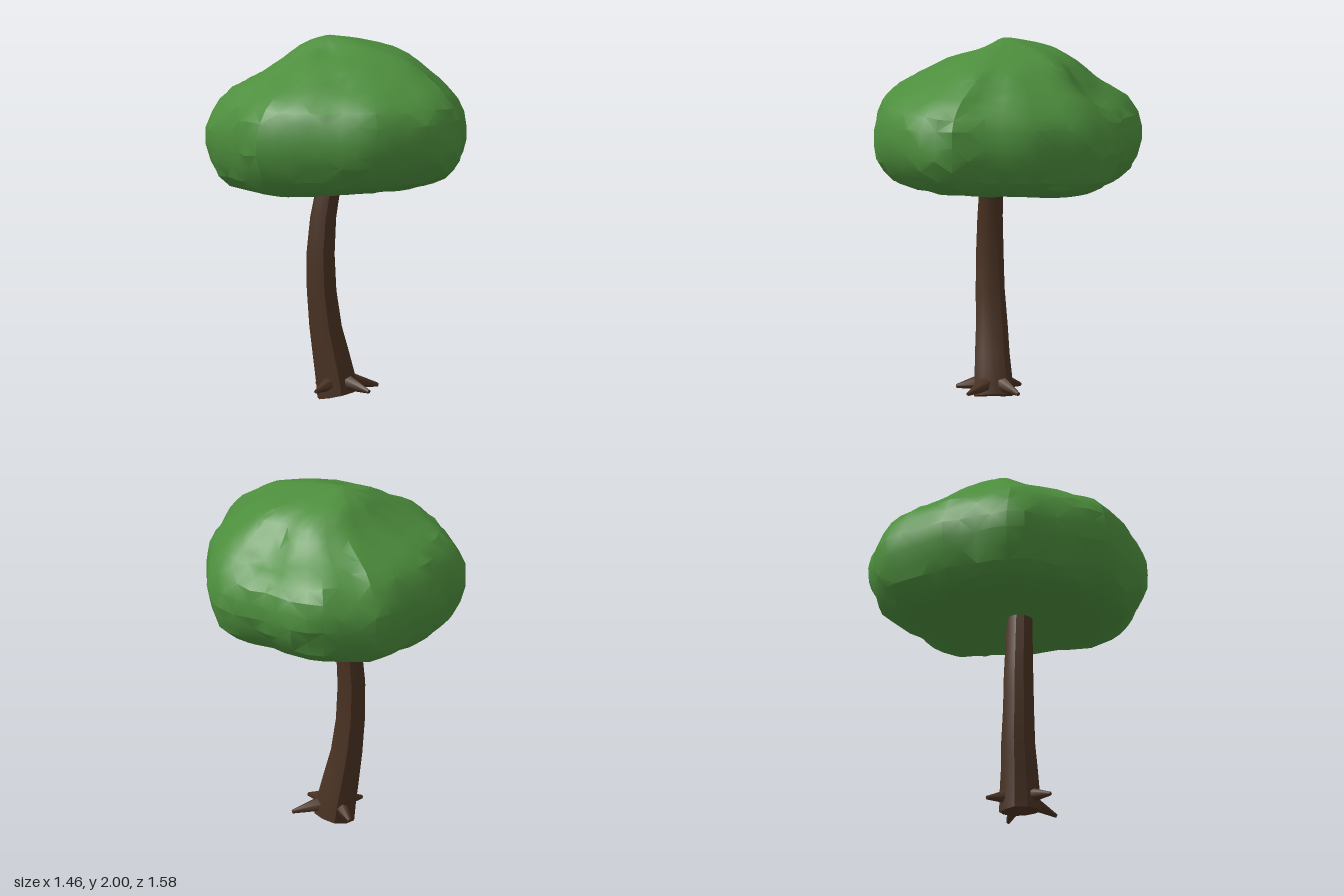
import * as THREE from 'three';
import { toCreasedNormals } from 'three/addons/utils/BufferGeometryUtils.js';

const LEAF = new THREE.MeshStandardMaterial({ color: 0x4d8e3d });
const BARK = new THREE.MeshStandardMaterial({ color: 0x4a3222 });

// Small seeded generator, returns -1..1
function seeded(seed) {
  return () => {
    seed = (seed * 16807) % 2147483647;
    return (seed / 2147483647) * 2 - 1;
  };
}

// Skin closed rings (bottom to top) and close both ends with a fan
function loft(rings, crease) {
  const n = rings[0].length;
  const points = rings.flat();
  const index = [];
  for (let i = 0; i < rings.length - 1; i++) {
    for (let j = 0; j < n; j++) {
      const a = i * n + j, b = i * n + (j + 1) % n, c = a + n, d = b + n;
      if ((i + j) % 2) index.push(a, c, b, b, c, d);
      else index.push(a, d, b, a, c, d);
    }
  }
  const last = (rings.length - 1) * n;
  [rings[0], rings.at(-1)].forEach((ring, end) => {
    const centre = ring.reduce((s, p) => s.add(p), new THREE.Vector3()).divideScalar(n);
    const k = points.push(centre) - 1;
    for (let j = 0; j < n; j++) {
      const a = j, b = (j + 1) % n;
      if (end) index.push(k, last + b, last + a);
      else index.push(k, a, b);
    }
  });
  const g = new THREE.BufferGeometry().setFromPoints(points);
  g.setIndex(index);
  return toCreasedNormals(g, crease);
}

// Bell curve around a centre
const bump = (v, centre, width) => Math.exp(-(((v - centre) / width) ** 2));

function canopy() {
  // Outline seen from above (x, z)
  const outline = new THREE.CatmullRomCurve3([
    [0.73, -0.08], [0.7, 0.125], [0.6, 0.27], [0.53, 0.42], [0.33, 0.62], [0.235, 0.745],
    [0.06, 0.795], [-0.15, 0.74], [-0.355, 0.65], [-0.52, 0.48], [-0.63, 0.335], [-0.735, 0.14],
    [-0.69, -0.17], [-0.66, -0.38], [-0.5, -0.535], [-0.43, -0.55], [-0.36, -0.635], [-0.15, -0.715],
    [0.06, -0.79], [0.17, -0.795], [0.25, -0.75], [0.42, -0.68], [0.57, -0.49], [0.6, -0.355],
  ].map(([x, z]) => new THREE.Vector3(x, 0, z)), true);
  // Side profile: fraction of the outline, height
  const profile = new THREE.SplineCurve([
    [0.1, 1.165], [0.4, 1.145], [0.66, 1.155], [0.85, 1.2], [0.94, 1.29], [1, 1.43], [0.99, 1.53],
    [0.95, 1.61], [0.86, 1.7], [0.66, 1.8], [0.45, 1.9], [0.27, 1.955], [0.05, 2],
  ].map(([f, y]) => new THREE.Vector2(f, y)));
  // Sideways drift of the upper rings: height, x, z
  const drift = [[1.7, 0, 0.02], [1.8, 0.03, 0.03], [1.9, 0.055, 0.01], [1.955, 0.02, -0.05], [2.01, -0.05, -0.065]];
  const driftAt = (y) => {
    const k = drift.findIndex((d) => d[0] > y);
    if (k < 1) return [0, 0.02 * THREE.MathUtils.smoothstep(y, 1.5, 1.7)];
    const [p, q] = [drift[k - 1], drift[k]];
    const t = (y - p[0]) / (q[0] - p[0]);
    return [p[1] + (q[1] - p[1]) * t, p[2] + (q[2] - p[2]) * t];
  };

  const rand = seeded(77);
  const sides = 48, levels = 24, rings = [];
  for (let i = 0; i <= levels; i++) {
    const { x: f, y } = profile.getPointAt(i / levels);
    const [driftX, driftZ] = driftAt(Math.min(y, 2));
    const under = THREE.MathUtils.clamp((1.5 - y) / 0.3, 0, 1);
    const ring = [];
    for (let j = 0; j < sides; j++) {
      const p = outline.getPointAt(j / sides);
      const angle = Math.atan2(p.z, p.x);
      // broad lumps, fine roughness and a groove between two leaf masses
      const lump = 0.008 * Math.sin(angle * 5 + y * 7) + 0.006 * Math.sin(angle * 9 - y * 13);
      const groove = 0.02 * bump(angle, 0.3 - 1.4 * (y - 1.3), 0.16);
      const s = Math.min(f * (1.005 + lump - groove + 0.011 * rand()), 1);
      const x = p.x * s + driftX;
      const z = p.z * s + driftZ * Math.min(1, 2 - f);
      // the underside rises toward the front and left
      const lift = (0.1 * Math.max(0, z) + 0.05 * Math.max(0, x)) * under;
      // the back left mass sits lower than the crown
      const sag = 0.06 * bump(angle, -0.5, 0.5) * bump(y, 1.75, 0.12);
      // shallow hollow beside the crown
      const hollow = y > 1.8 ? 0.04 * Math.exp(-((x + 0.15) ** 2 + (z - 0.03) ** 2) / 0.01) : 0;
      ring.push(new THREE.Vector3(x, Math.min(y + lift - sag - hollow + 0.008 * rand() * f, 2),
        THREE.MathUtils.clamp(z, -0.79, 0.79)));
    }
    rings.push(ring);
  }
  return loft(rings, 0.4);
}

function trunk() {
  // Bent centre line with radius: x, y, z, r
  const stations = [
    [-0.05, 0.02, 0.015, 0.112], [-0.06, 0.12, 0.005, 0.107], [-0.08, 0.25, -0.01, 0.098],
    [-0.1, 0.4, -0.03, 0.09], [-0.12, 0.6, -0.04, 0.082], [-0.125, 0.8, -0.043, 0.078],
    [-0.115, 1.0, -0.033, 0.072], [-0.095, 1.15, -0.017, 0.068], [-0.075, 1.25, 0, 0.066],
  ];
  const sides = 10;
  const rings = stations.map(([x, y, z, r], i) => Array.from({ length: sides }, (_, j) => {
    const a = (j / sides) * Math.PI * 2 + 0.2;
    const s = r * (1 + 0.04 * Math.sin(j * 2.4 + 1));
    const dx = Math.cos(a) * s, dz = Math.sin(a) * s;
    // the cut base is tilted, following the lean
    const tilt = i < 3 ? 0.16 * (dx + dz) : 0;
    return new THREE.Vector3(x + dx, Math.max(0, y + tilt), z + dz);
  }));
  return loft(rings, 0.6);
}

// Tapered root from inside the trunk out to its tip
function root(tip) {
  const start = new THREE.Vector3(-0.05, 0.1, 0.01).lerp(tip, 0.2).setY(0.1);
  const dir = tip.clone().sub(start);
  const g = new THREE.CylinderGeometry(0.011, 0.05, dir.length(), 6);
  g.applyQuaternion(new THREE.Quaternion().setFromUnitVectors(
    new THREE.Vector3(0, 1, 0), dir.clone().normalize()));
  const mid = start.lerp(tip, 0.5);
  g.translate(mid.x, mid.y, mid.z);
  return toCreasedNormals(g, 1.1);
}

export function createModel() {
  const tree = new THREE.Group();
  tree.name = 'tree';
  const add = (name, geometry, material) => {
    const mesh = new THREE.Mesh(geometry, material);
    mesh.name = name;
    tree.add(mesh);
  };
  add('canopy', canopy(), LEAF);
  add('trunk', trunk(), BARK);
  const tips = { leftRoot: [0.18, 0.08], frontRoot: [-0.03, 0.26], rightRoot: [-0.26, 0.08], backRoot: [-0.03, -0.19] };
  for (const [name, [x, z]] of Object.entries(tips)) add(name, root(new THREE.Vector3(x, 0.06, z)), BARK);
  return tree;
}
